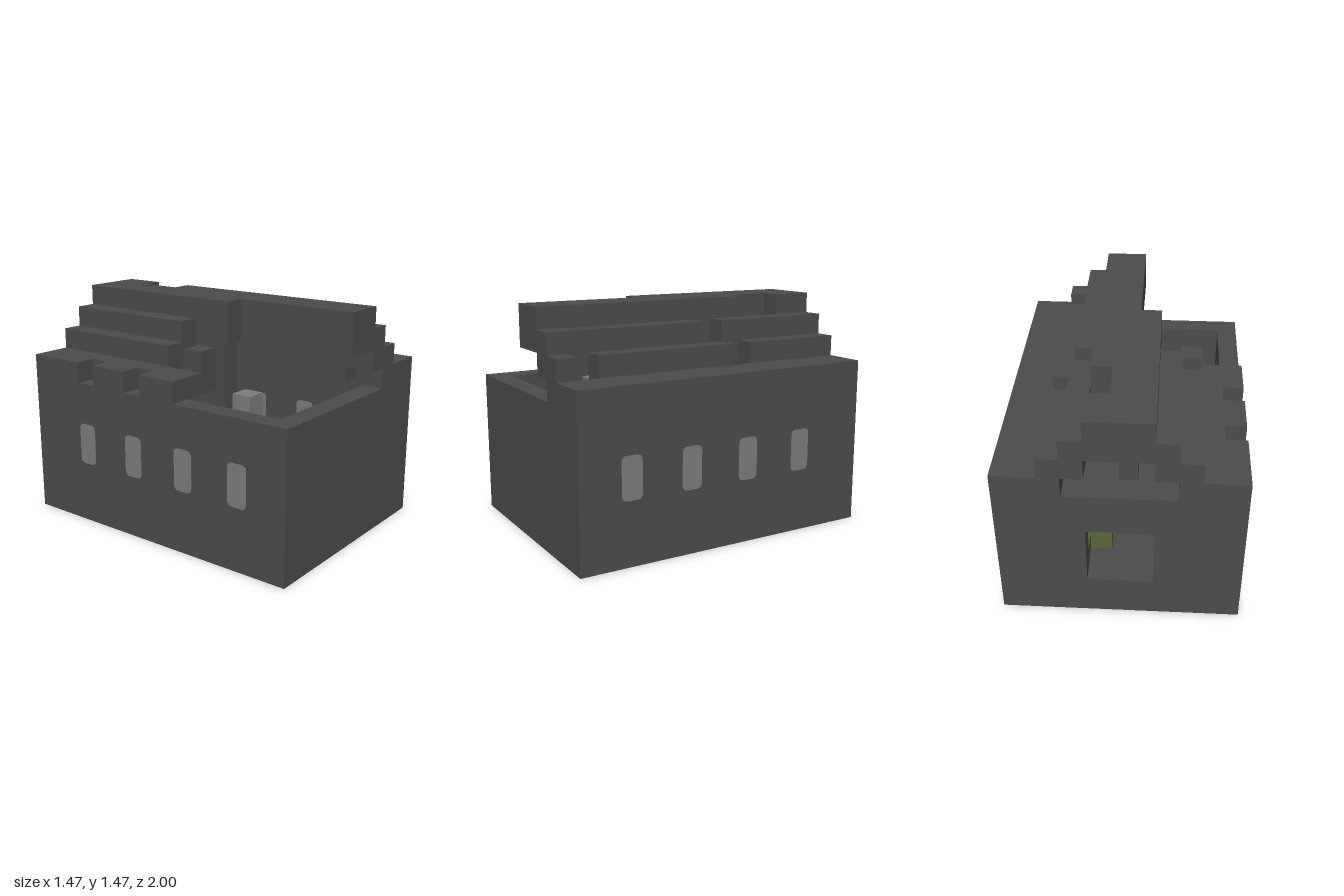
import * as THREE from 'three';

const U = 2 / 15; // one block

export function createModel() {
  const model = new THREE.Group();
  model.name = 'ruinedHall';
  const make = (name, color) => {
    const m = new THREE.MeshStandardMaterial({ color });
    m.name = name;
    return m;
  };
  const stone = make('dark stone', 0x4b4b4b);
  const moss = make('moss green', 0x576733);
  const pale = make('pale grey', 0x7b7d79);

  // Block-grid box: ranges count blocks from the left, ground and back
  function block(name, x0, x1, y0, y1, z0, z1, mat = stone) {
    const geo = new THREE.BoxGeometry((x1 - x0) * U, (y1 - y0) * U, (z1 - z0) * U);
    const mesh = new THREE.Mesh(geo, mat);
    mesh.position.set(((x0 + x1) / 2 - 5.5) * U, ((y0 + y1) / 2) * U, ((z0 + z1) / 2 - 7.5) * U);
    mesh.name = name;
    model.add(mesh);
  }
  // Row of beams along z, broken by gaps
  const row = (name, x0, x1, y0, y1, spans) =>
    spans.forEach(([z0, z1]) => block(name, x0, x1, y0, y1, z0, z1));

  // Floor and walls
  block('floor', 0, 11, 0, 2, 0, 15);
  block('frontWall', 0, 11, 2, 7, 14, 15);
  block('leftSideWall', 0, 1, 2, 7, 0, 14);
  block('rightSideWall', 10, 11, 2, 7, 0, 14);

  // Back wall around a square opening
  block('backWallLeft', 1, 4, 2, 7, 0, 1);
  block('backWallRight', 7, 10, 2, 7, 0, 1);
  block('backWallLintel', 4, 7, 5, 7, 0, 1);

  // Intact stepped roof on the +x side
  row('rightEave', 9, 11, 7, 8, [[0, 15]]);
  row('rightLowerStep', 8, 9, 7, 9, [[0, 5], [6, 13], [14, 15]]);
  row('rightUpperStep', 7, 8, 8, 10, [[0, 6], [7, 15]]);

  // Ridge with a hole near the back
  row('ridgeMiddle', 5, 6, 9, 11, [[0, 15]]);
  row('ridgeRight', 6, 7, 9, 11, [[0, 2], [4, 15]]);
  row('ridgeLeft', 4, 5, 9, 11, [[0, 9]]);

  // Collapsed roof on the -x side
  row('leftParapet', 0, 1, 7, 8, [[0, 3], [4, 6], [7, 9]]);
  row('leftEave', 1, 2, 7, 8, [[0, 9]]);
  row('leftLowerStep', 2, 3, 7, 9, [[0, 7], [8, 9]]);
  row('leftUpperStep', 3, 4, 8, 10, [[0, 7]]);

  // Pillar under the ridge and fallen rubble
  block('pillar', 5, 6, 2, 9, 7, 8);
  block('rubble', 1, 3, 2, 3, 12, 13);
  block('rubble', 4, 5, 2, 4, 12, 13);
  block('rubble', 4, 5, 2, 3, 13, 14);
  block('rubble', 3, 4, 2, 3, 8, 9);

  // Moss and pale blocks inside
  block('mossBlock', 6, 7, 2, 3, 2, 3, moss);
  block('mossBlock', 7, 8, 2, 3, 1, 2, moss);
  block('mossBlock', 3, 4, 2, 3, 11, 12, moss);
  block('paleBlock', 3, 4, 6, 7, 10, 11, pale);
  block('paleBlock', 2, 3, 2, 3, 10, 11, pale);
  block('paleBlock', 4, 5, 2, 3, 9, 10, pale);

  // Rounded window panes on both faces of each side wall
  const w = U / 2, h = U, r = 0.035;
  const pane = new THREE.Shape();
  pane.moveTo(-w + r, -h);
  pane.lineTo(w - r, -h);
  pane.quadraticCurveTo(w, -h, w, -h + r);
  pane.lineTo(w, h - r);
  pane.quadraticCurveTo(w, h, w - r, h);
  pane.lineTo(-w + r, h);
  pane.quadraticCurveTo(-w, h, -w, h - r);
  pane.lineTo(-w, -h + r);
  pane.quadraticCurveTo(-w, -h, -w + r, -h);
  const paneGeo = new THREE.ExtrudeGeometry(pane, { depth: 0.004, bevelEnabled: false, curveSegments: 4 });
  paneGeo.translate(0, 0, -0.002);
  paneGeo.rotateY(Math.PI / 2);
  for (const z of [3.5, 6.5, 9.5, 12.5]) {
    for (const x of [0, 1, 10, 11]) {
      const mesh = new THREE.Mesh(paneGeo, pale);
      mesh.position.set((x - 5.5) * U, 4 * U, (z - 7.5) * U);
      mesh.name = 'windowPane';
      model.add(mesh);
    }
  }
  return model;
}
